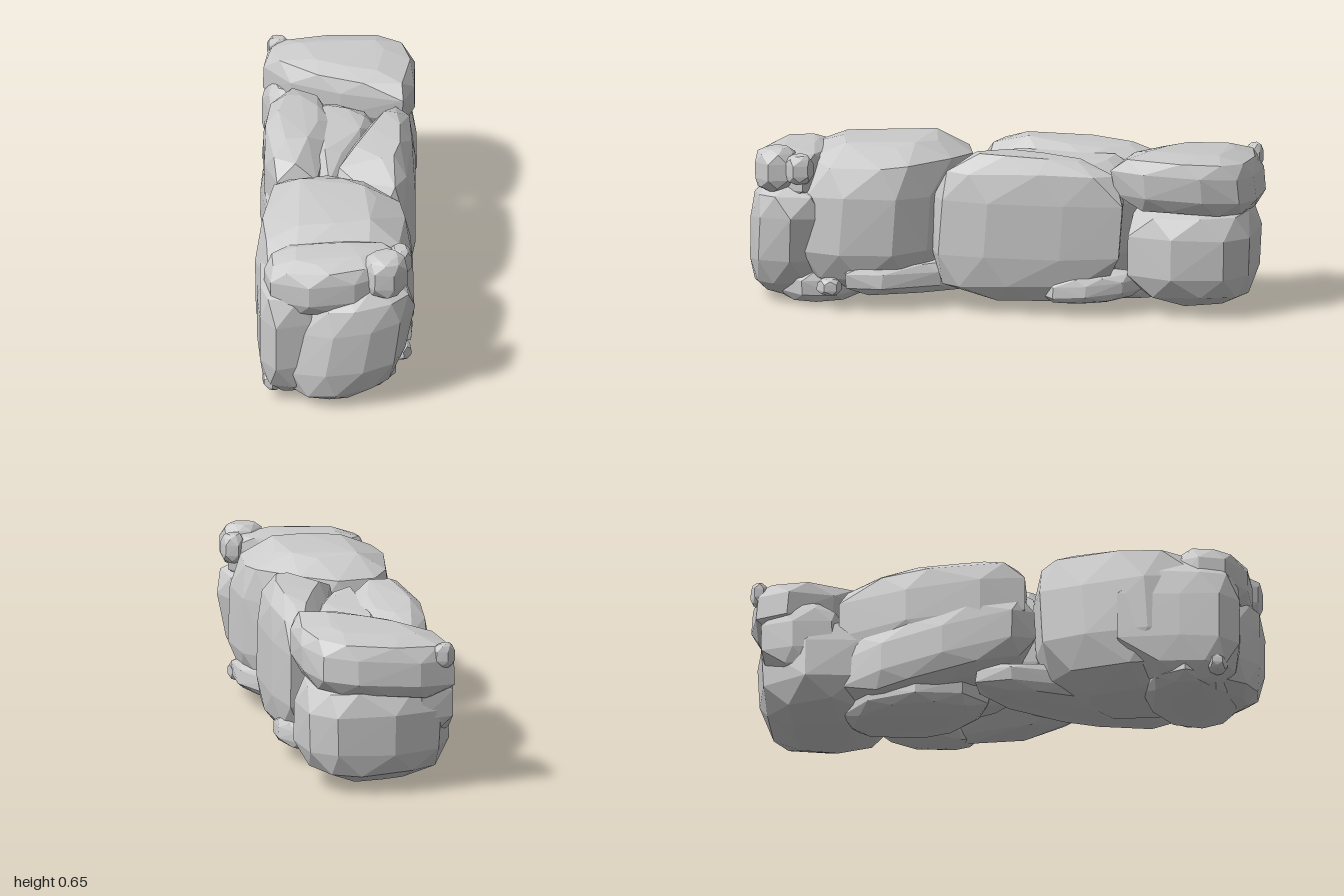
import * as THREE from 'three';
import { ConvexGeometry } from 'three/addons/geometries/ConvexGeometry.js';

// Small seeded generator for the chipped, irregular facets
function seeded(seed) {
  let s = seed * 7919 + 17;
  return () => {
    s = (s * 16807) % 2147483647;
    return s / 2147483647;
  };
}

// Vertical profile of a boulder: [height from -1 to 1, width factor, whether the ring sits between corners]
const PROFILE = [[-1, 0.48, false], [-0.8, 0.87, true], [-0.38, 1, false], [0.38, 1, false], [0.8, 0.9, true], [1, 0.55, false]];

// Faceted boulder: plan outline [x, z], height range, optional slope of y along x and z,
// and optional lean of the upper half along x and z
function boulder(outline, y0, y1, seed, { slope = [0, 0], lean = [0, 0] } = {}) {
  const rand = seeded(seed);
  const n = outline.length;
  const cx = outline.reduce((a, p) => a + p[0], 0) / n;
  const cz = outline.reduce((a, p) => a + p[1], 0) / n;
  const points = [];
  PROFILE.forEach(([t, width, between]) => {
    outline.forEach((p, i) => {
      const next = outline[(i + 1) % n];
      const f = between ? 0.3 + 0.4 * rand() : 0;
      const w = width * (between ? 1.03 : 1) * (1 - 0.04 * rand());
      const dx = (p[0] + (next[0] - p[0]) * f - cx) * w;
      const dz = (p[1] + (next[1] - p[1]) * f - cz) * w;
      const h = t * (1 - 0.1 * rand());
      points.push(new THREE.Vector3(
        cx + dx + lean[0] * t,
        (y0 + y1) / 2 + (h * (y1 - y0)) / 2 + slope[0] * dx + slope[1] * dz,
        cz + dz + lean[1] * t
      ));
    });
  });
  return new ConvexGeometry(points);
}

// Oval outline for slabs and pebbles, turned by an angle in plan
function oval(cx, cz, rx, rz, n = 8, turn = 0) {
  const c = Math.cos(turn), s = Math.sin(turn);
  return Array.from({ length: n }, (_, i) => {
    const a = ((i + 0.3) / n) * Math.PI * 2;
    const x = rx * Math.cos(a), z = rz * Math.sin(a);
    return [cx + x * c + z * s, cz - x * s + z * c];
  });
}

export function createModel() {
  const group = new THREE.Group();
  const material = new THREE.MeshStandardMaterial({ color: 0xcccccc, flatShading: true });
  let seed = 1;
  const add = (name, outline, y0, y1, options) => {
    const mesh = new THREE.Mesh(boulder(outline, y0, y1, seed++, options), material);
    mesh.name = name;
    group.add(mesh);
  };

  // Front end: lower block, capping slab, knobs and the long stone on the left flank
  add('frontLowerBoulder',
    [[-0.18, 0.84], [-0.15, 0.95], [-0.02, 1.01], [0.13, 1.0], [0.25, 0.95], [0.3, 0.82], [0.24, 0.69], [-0.1, 0.68]],
    0.01, 0.49, { slope: [0.13, 0], lean: [0.04, -0.01] });
  add('frontCapStone',
    [[-0.28, 0.82], [-0.25, 0.92], [-0.1, 0.98], [0.08, 0.96], [0.21, 0.9], [0.29, 0.77], [0.12, 0.69], [-0.12, 0.69], [-0.25, 0.74]],
    0.385, 0.615, { slope: [0.05, -0.06] });
  add('frontKnob', oval(0.2, 0.885, 0.09, 0.09, 7), 0.46, 0.64);
  add('frontSmallKnob', oval(0.255, 0.79, 0.05, 0.06, 6), 0.5, 0.62);
  add('frontSideStone',
    [[-0.31, 0.5], [-0.31, 0.75], [-0.295, 0.91], [-0.23, 0.98], [-0.08, 0.95], [0.02, 0.85], [0, 0.5]],
    0.02, 0.53, { slope: [0, -0.08] });

  // Large boulder behind the front end
  add('frontLargeBoulder',
    [[-0.26, 0.18], [-0.12, 0.12], [0.04, 0.14], [0.21, 0.28], [0.3, 0.41], [0.31, 0.62], [0.26, 0.78],
      [0, 0.84], [-0.26, 0.84], [-0.32, 0.62], [-0.3, 0.36]],
    0.04, 0.65, { lean: [0, -0.02] });

  // Middle: upright boulders leaning against one another
  add('middleRightBoulder',
    [[0.18, -0.48], [0.27, -0.48], [0.3, -0.25], [0.305, 0.05], [0.26, 0.24], [0.17, 0.28], [0, 0.18], [-0.02, 0.06], [0.08, -0.2]],
    0.05, 0.64, { lean: [0, -0.02] });
  add('middleCoreBoulder',
    [[-0.12, -0.58], [0.05, -0.54], [0.18, -0.44], [0.15, -0.2], [0.02, 0.14], [-0.1, 0.15], [-0.14, -0.2]],
    0.06, 0.6);
  add('middleLeftUpperBoulder',
    [[-0.25, -0.64], [-0.14, -0.63], [-0.02, -0.48], [-0.01, -0.2], [-0.08, 0.1], [-0.24, 0.13], [-0.29, -0.05], [-0.3, -0.35]],
    0.25, 0.625, { slope: [0, 0.06] });
  add('middleLeftLowerBoulder',
    [[-0.25, -0.62], [-0.05, -0.6], [0.04, -0.3], [0, 0.05], [-0.2, 0.16], [-0.28, 0.08], [-0.31, -0.2], [-0.305, -0.45]],
    0.1, 0.42, { slope: [0, 0.2] });

  // Rear end: lower block with an overhanging cap that drops down the left side
  add('rearLowerBoulder',
    [[-0.24, -0.94], [-0.05, -1.0], [0.18, -0.98], [0.28, -0.89], [0.305, -0.68], [0.22, -0.5], [-0.05, -0.48], [-0.26, -0.54], [-0.31, -0.75]],
    0.03, 0.46);
  add('rearCapBoulder',
    [[-0.3, -0.95], [-0.15, -1.0], [0.1, -0.995], [0.23, -0.94], [0.29, -0.8], [0.3, -0.57], [0.25, -0.44],
      [0, -0.54], [-0.2, -0.66], [-0.31, -0.82]],
    0.38, 0.64, { slope: [0.06, 0.06], lean: [0, 0.01] });
  add('rearSideStone',
    [[-0.29, -0.93], [-0.16, -0.96], [-0.08, -0.75], [-0.16, -0.6], [-0.27, -0.65], [-0.31, -0.8]],
    0.2, 0.5);

  // Flat stones and pebbles wedged along the foot: [name, outline, y0, y1, slope]
  const chips = [
    ['frontBaseSlab', oval(-0.02, 0.74, 0.27, 0.2, 9), 0, 0.16, [0, 0]],
    ['diagonalFootSlab', oval(0.03, 0.26, 0.15, 0.44, 10, 0.62), 0.05, 0.2, [0, 0]],
    ['rightRearFootSlab', oval(0.19, -0.36, 0.1, 0.2, 8, 0.3), 0.05, 0.17, [0, -0.06]],
    ['underSlab', oval(-0.07, -0.36, 0.2, 0.3, 9), 0.02, 0.17, [0, 0.03]],
    ['rightFootPebble', oval(0.26, 0.67, 0.04, 0.05, 6), 0.06, 0.13, [0, 0]],
    ['frontLeftPebble', oval(-0.25, 0.89, 0.035, 0.04, 6), 0.04, 0.1, [-0.4, 0]],
    ['rearTopPebble', oval(-0.25, -0.945, 0.045, 0.035, 6), 0.5, 0.6, [0, 0]],
  ];
  chips.forEach(([name, outline, y0, y1, slope]) => add(name, outline, y0, y1, { slope }));

  return group;
}
